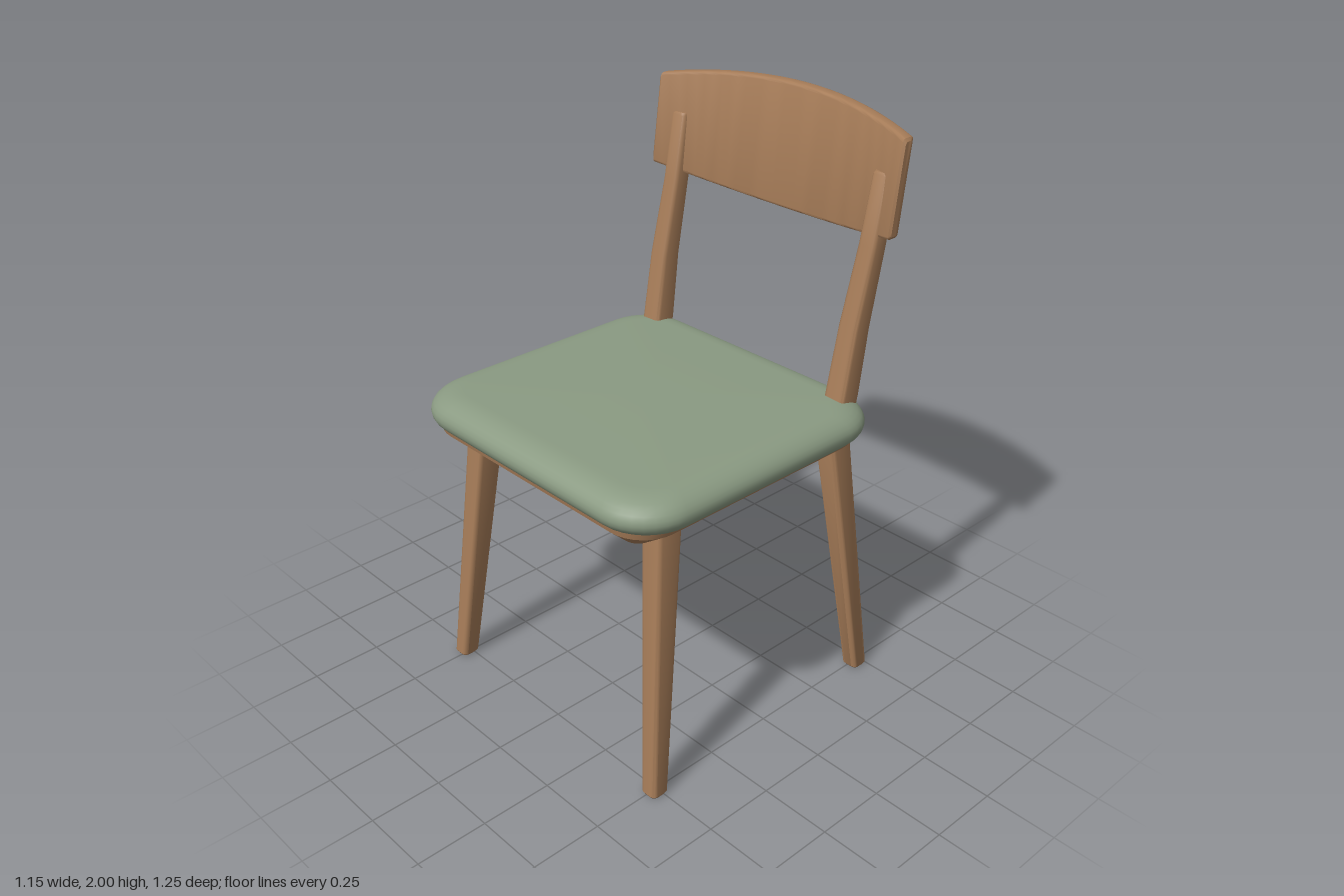
import * as THREE from 'three';
import { toCreasedNormals } from 'three/addons/utils/BufferGeometryUtils.js';

// Skin a list of equal-length rings of [x, y, z] points and cap both ends
function loft(rings, crease) {
  const n = rings[0].length, last = rings.length - 1;
  const pos = rings.flat(2), idx = [];
  for (let i = 0; i < last; i++) {
    for (let j = 0; j < n; j++) {
      const k = (j + 1) % n, a = i * n + j, b = i * n + k;
      idx.push(a, a + n, b, b, a + n, b + n);
    }
  }
  for (const r of [0, last]) {
    const centre = pos.length / 3;
    for (let c = 0; c < 3; c++) pos.push(rings[r].reduce((s, p) => s + p[c], 0) / n);
    for (let j = 0; j < n; j++) {
      const a = r * n + j, b = r * n + (j + 1) % n;
      idx.push(centre, ...(r ? [b, a] : [a, b]));
    }
  }
  const g = new THREE.BufferGeometry();
  g.setAttribute('position', new THREE.Float32BufferAttribute(pos, 3));
  g.setIndex(idx);
  return toCreasedNormals(g, crease);
}

// Rounded rectangle outline as [u, v] pairs, with half sizes hu, hv and radius r
function roundedRect(hu, hv, r, steps) {
  const pts = [];
  for (let q = 0; q < 4; q++) {
    const su = q === 0 || q === 3 ? 1 : -1, sv = q < 2 ? 1 : -1;
    for (let s = 0; s <= steps; s++) {
      const a = (q + s / steps) * Math.PI / 2;
      pts.push([su * (hu - r) + r * Math.cos(a), sv * (hv - r) + r * Math.sin(a)]);
    }
  }
  return pts;
}

// Horizontal ring centred on (x, y, z)
const levelRing = (x, y, z, hx, hz, r, steps) =>
  roundedRect(hx, hz, r, steps).map(([u, v]) => [x + u, y, z + v]);

export function createModel() {
  const wood = new THREE.MeshStandardMaterial({ color: 0xa67c58 });
  wood.name = 'wood';
  const fabric = new THREE.MeshStandardMaterial({ color: 0x8a9a82 });
  fabric.name = 'green fabric';

  const chair = new THREE.Group();
  chair.name = 'chair';
  const add = (name, geometry, material) => {
    const mesh = new THREE.Mesh(geometry, material);
    mesh.name = name;
    chair.add(mesh);
  };

  // Seat cushion: rounded edge with flat top; depth is slightly less than width
  const cz = 0.08;
  const cushion = [];
  const edge = 0.1;
  for (let i = 0; i <= 14; i++) {
    const a = -Math.PI / 2 + Math.PI * i / 14;
    const out = edge * (Math.cos(a) - 1);
    const y = 1.03 + 0.065 * Math.sin(a);
    cushion.push(levelRing(0, y, cz, 0.576 + out, 0.54 + out, 0.18 + out * 0.6, 8));
  }
  add('seatCushion', loft(cushion, 0.7), fabric);

  // Wooden seat pan, bevelled inward underneath
  add('seatPan', loft([
    levelRing(0, 0.89, cz, 0.425, 0.425, 0.05, 8),
    levelRing(0, 0.965, cz, 0.53, 0.505, 0.13, 8),
    levelRing(0, 0.99, cz, 0.54, 0.51, 0.14, 8),
  ], 0.5), wood);

  // Legs: rows of [y, x centre, half width, z centre, half depth]
  const frontLeg = [
    [0, 0.509, 0.026, 0.515, 0.028],
    [0.008, 0.508, 0.031, 0.514, 0.034],
    [0.93, 0.436, 0.042, 0.415, 0.05],
  ];
  const rearLeg = [
    [0, 0.509, 0.026, -0.47, 0.028],
    [0.008, 0.508, 0.031, -0.469, 0.034],
    [0.92, 0.438, 0.042, -0.358, 0.047],
    [1.02, 0.438, 0.042, -0.366, 0.046],
    [1.1, 0.44, 0.041, -0.384, 0.044],
    [1.33, 0.444, 0.038, -0.419, 0.04],
    [1.6, 0.448, 0.034, -0.479, 0.035],
    [1.822, 0.451, 0.032, -0.515, 0.031],
    [1.83, 0.451, 0.028, -0.516, 0.027],
  ];
  for (const [side, s] of [['left', 1], ['right', -1]]) {
    for (const [part, rows] of [['FrontLeg', frontLeg], ['RearLegAndPost', rearLeg]]) {
      const rings = rows.map(([y, x, hx, z, hz]) => levelRing(s * x, y, z, hx, hz, 0.016, 3));
      add(side + part, loft(rings, 0.6), wood);
    }
  }

  // Backrest: bowed, leaning panel that is taller in the middle
  const half = 0.54, steps = 32, thick = 0.0235;
  const stations = [[-half, 0.008]];
  for (let i = 0; i <= steps; i++) stations.push([(half - 0.008) * (2 * i / steps - 1), 0]);
  stations.push([half, 0.008]);
  const backrest = stations.map(([x, inset]) => {
    const t = (x / half) ** 2;
    const height = 0.205 - 0.05 * t - inset;
    return roundedRect(height, thick - inset, 0.01, 3).map(([u, v]) =>
      [x, 1.797 + u, -0.485 - 0.13 * u - 0.092 * (1 - t) - v]);
  });
  add('backrest', loft(backrest, 0.6), wood);

  return chair;
}
